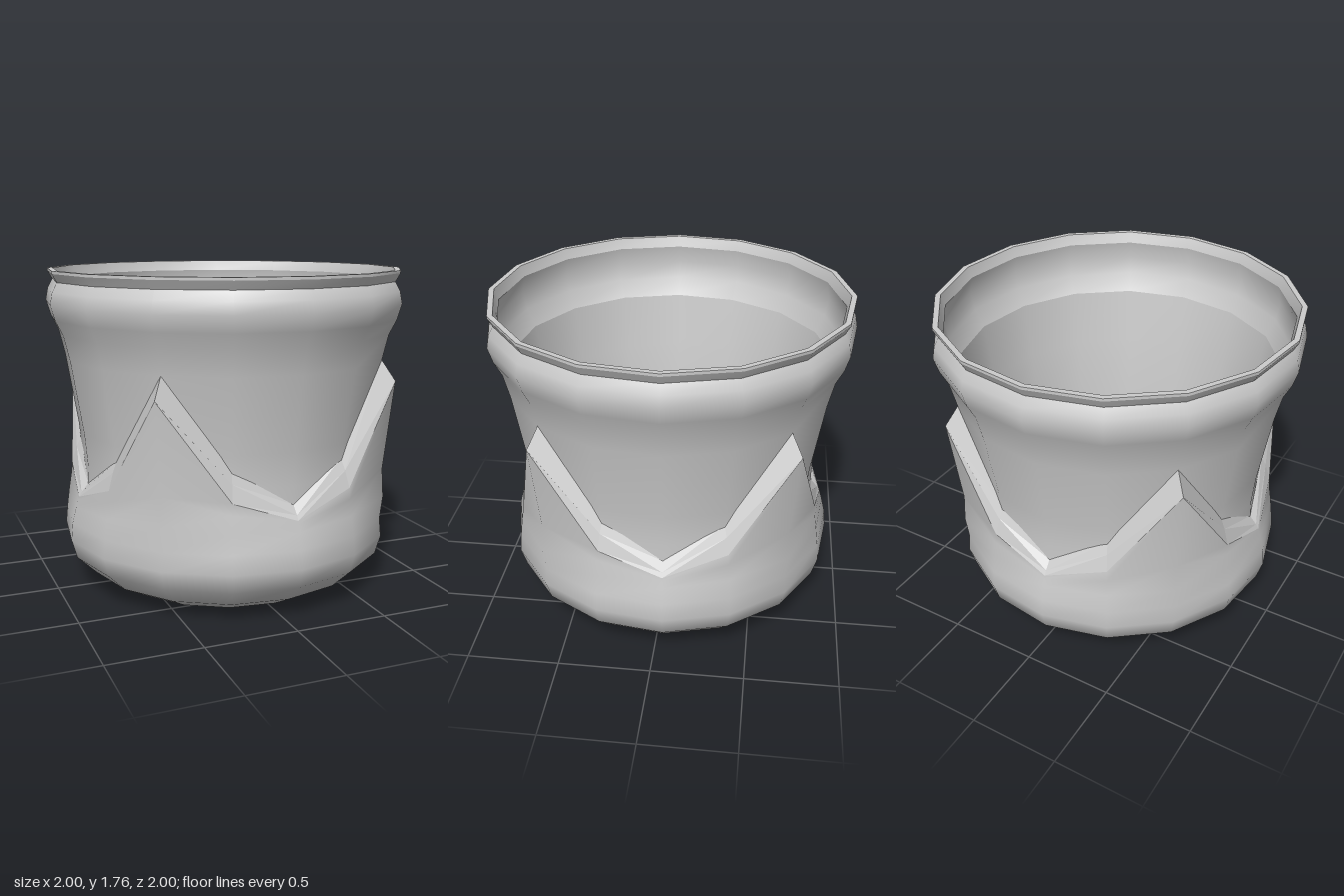
import * as THREE from 'three';

const SIDES = 16;
const TWIST = -0.06; // the polygon is turned slightly off the x axis

// Skins a stack of closed rings. A row is [radius, y], or a function (i) => [radius, y].
function rings(name, rows, flat = false) {
  const pos = [], index = [];
  rows.forEach((row) => {
    for (let i = 0; i < SIDES; i++) {
      const [r, y] = typeof row === 'function' ? row(i) : row;
      const a = TWIST + (i / SIDES) * Math.PI * 2;
      pos.push(r * Math.cos(a), y, r * Math.sin(a));
    }
  });
  for (let j = 0; j < rows.length - 1; j++) {
    for (let i = 0; i < SIDES; i++) {
      const n = (i + 1) % SIDES;
      const a = j * SIDES + i, b = j * SIDES + n, c = a + SIDES, d = b + SIDES;
      index.push(a, c, b, b, c, d);
    }
  }
  const geo = new THREE.BufferGeometry();
  geo.setAttribute('position', new THREE.Float32BufferAttribute(pos, 3));
  geo.setIndex(index);
  geo.computeVertexNormals();
  const mat = new THREE.MeshStandardMaterial({ color: 0xcccccc, flatShading: flat, side: THREE.DoubleSide });
  const mesh = new THREE.Mesh(geo, mat);
  mesh.name = name;
  return mesh;
}

// Zigzag row repeating four times around: valley, slope, peak, slope
const zigzag = (valley, slope, peak) => (i) => [valley, slope, peak, slope][i % 4];

export function createModel() {
  const pot = new THREE.Group();
  pot.name = 'pot';

  // Flat underside
  pot.add(rings('underside', [[0, 0], [0.64, 0]]));

  // Rounded base rising into four pointed petals
  const petalEdge = zigzag([0.88, 0.535], [0.885, 0.65], [0.98, 1.17]);
  pot.add(rings('petalBase', [
    [0.64, 0], [0.79, 0.08], [0.9, 0.185], [0.93, 0.29], [0.92, 0.39],
    zigzag([0.897, 0.48], [0.905, 0.5], [0.935, 0.52]),
    zigzag([0.885, 0.52], [0.89, 0.59], [0.925, 0.68]),
    petalEdge,
  ]));

  // Faceted lip that closes the petal edge against the wall
  pot.add(rings('petalLip', [
    petalEdge,
    zigzag([0.865, 0.56], [0.855, 0.74], [0.98, 1.171]),
    zigzag([0.825, 0.605], [0.825, 0.8], [0.9, 1.285]),
  ], true));

  // Outer wall with a swelling below the rim
  pot.add(rings('outerWall', [
    [0.83, 0.5], [0.822, 0.7], [0.838, 0.88], [0.87, 1.08], [0.902, 1.28],
    [0.935, 1.42], [0.975, 1.5], [1, 1.585], [0.987, 1.65], [0.96, 1.7],
  ]));

  // Flared rim
  pot.add(rings('rimFlare', [[0.96, 1.7], [0.985, 1.745]]));
  pot.add(rings('rimEdge', [[0.985, 1.745], [0.985, 1.76]]));
  pot.add(rings('rimTop', [[0.985, 1.76], [0.955, 1.76]]));

  // Inside: hollow under the rim, tapering wall, rounded floor
  pot.add(rings('innerRim', [[0.955, 1.76], [0.935, 1.7]]));
  pot.add(rings('innerHollow', [[0.935, 1.7], [0.955, 1.6], [0.935, 1.5], [0.885, 1.4]]));
  pot.add(rings('innerWall', [[0.885, 1.4], [0.835, 1.08], [0.79, 0.75], [0.75, 0.28]]));
  pot.add(rings('floor', [[0.75, 0.28], [0.67, 0.16], [0.55, 0.11], [0.3, 0.1], [0, 0.1]]));

  return pot;
}
